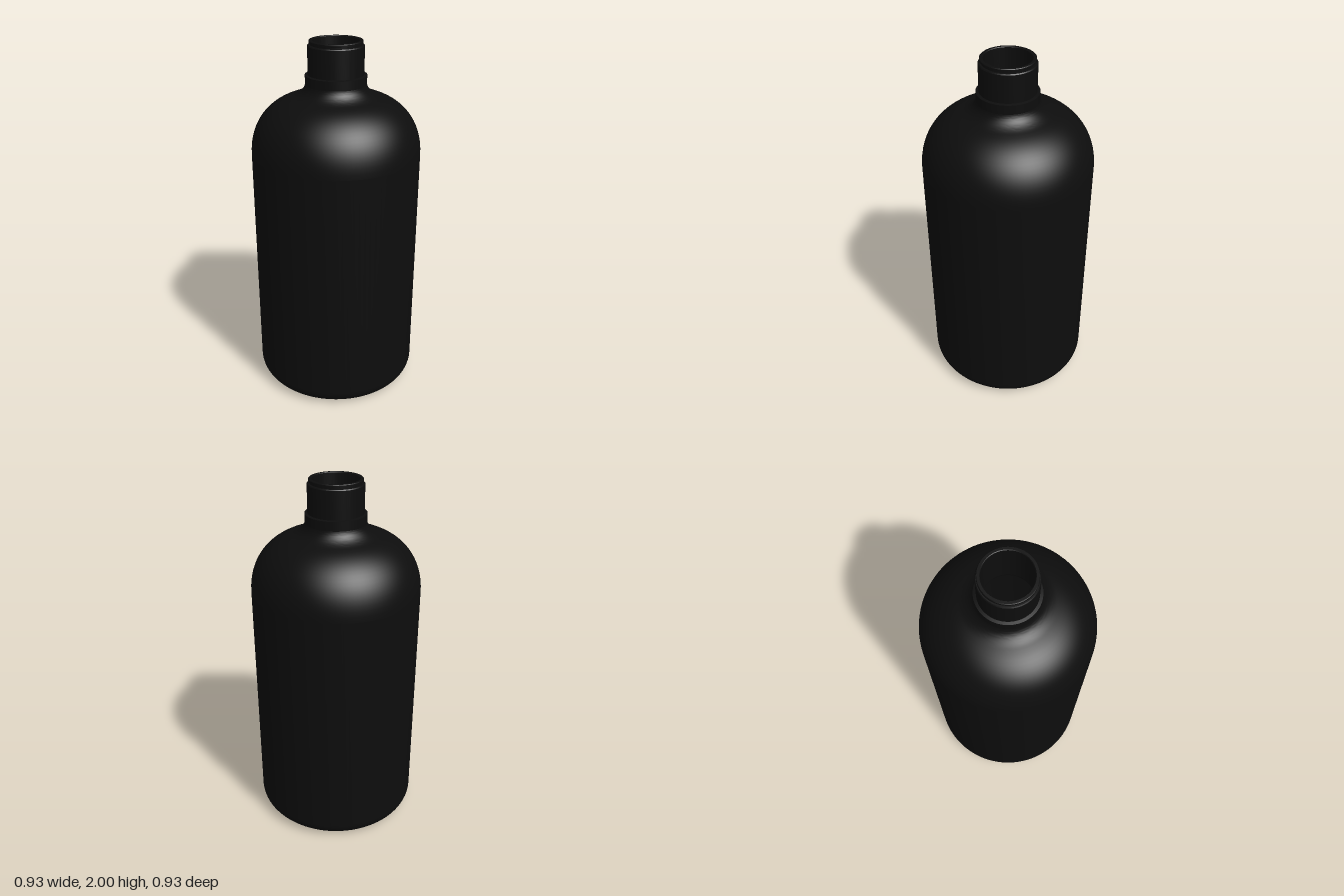
import * as THREE from 'three';
import { toCreasedNormals } from 'three/addons/utils/BufferGeometryUtils.js';

const SEGMENTS = 96;

export function createModel() {
  const model = new THREE.Group();
  model.name = 'bottle';
  const material = new THREE.MeshStandardMaterial({ color: 0x0d0d0d, side: THREE.DoubleSide });

  // Revolve a profile around the y axis, keeping sharp edges crisp
  const revolve = (name, points) => {
    const geometry = toCreasedNormals(new THREE.LatheGeometry(points, SEGMENTS), 0.6);
    const mesh = new THREE.Mesh(geometry, material);
    mesh.name = name;
    model.add(mesh);
  };
  const toPoints = (pairs) => pairs.map(([r, y]) => new THREE.Vector2(r, y));

  // Body: dished base, rounded foot, straight wall, domed shoulder, flared throat
  const body = new THREE.Path();
  body.moveTo(0, 0.03);
  body.bezierCurveTo(0.2, 0.03, 0.28, 0, 0.373, 0);
  body.absarc(0.373, 0.09, 0.09, -Math.PI / 2, 0, false);
  body.lineTo(0.463, 1.4);
  body.bezierCurveTo(0.463, 1.56, 0.37, 1.667, 0.245, 1.702);
  body.bezierCurveTo(0.2, 1.715, 0.17, 1.74, 0.165, 1.77);
  revolve('body', body.getPoints(16));

  // Neck: collar, straight finish, groove, lip and mouth opening
  revolve('neck', toPoints([
    [0.165, 1.77], [0.165, 1.82], [0.15, 1.823], [0.15, 1.972], [0.146, 1.977],
    [0.136, 1.977], [0.136, 1.985], [0.143, 1.987], [0.143, 1.997], [0.14, 2],
    [0.127, 2], [0.124, 1.997], [0.124, 1.76],
  ]));

  // Inner wall, from the throat down to the inside of the base
  const inner = new THREE.Path();
  inner.moveTo(0.124, 1.76);
  inner.bezierCurveTo(0.13, 1.71, 0.17, 1.69, 0.235, 1.672);
  inner.bezierCurveTo(0.35, 1.64, 0.433, 1.54, 0.433, 1.4);
  inner.lineTo(0.433, 0.09);
  inner.absarc(0.373, 0.09, 0.06, 0, -Math.PI / 2, true);
  inner.bezierCurveTo(0.28, 0.03, 0.2, 0.06, 0, 0.06);
  revolve('innerWall', inner.getPoints(16));

  return model;
}
